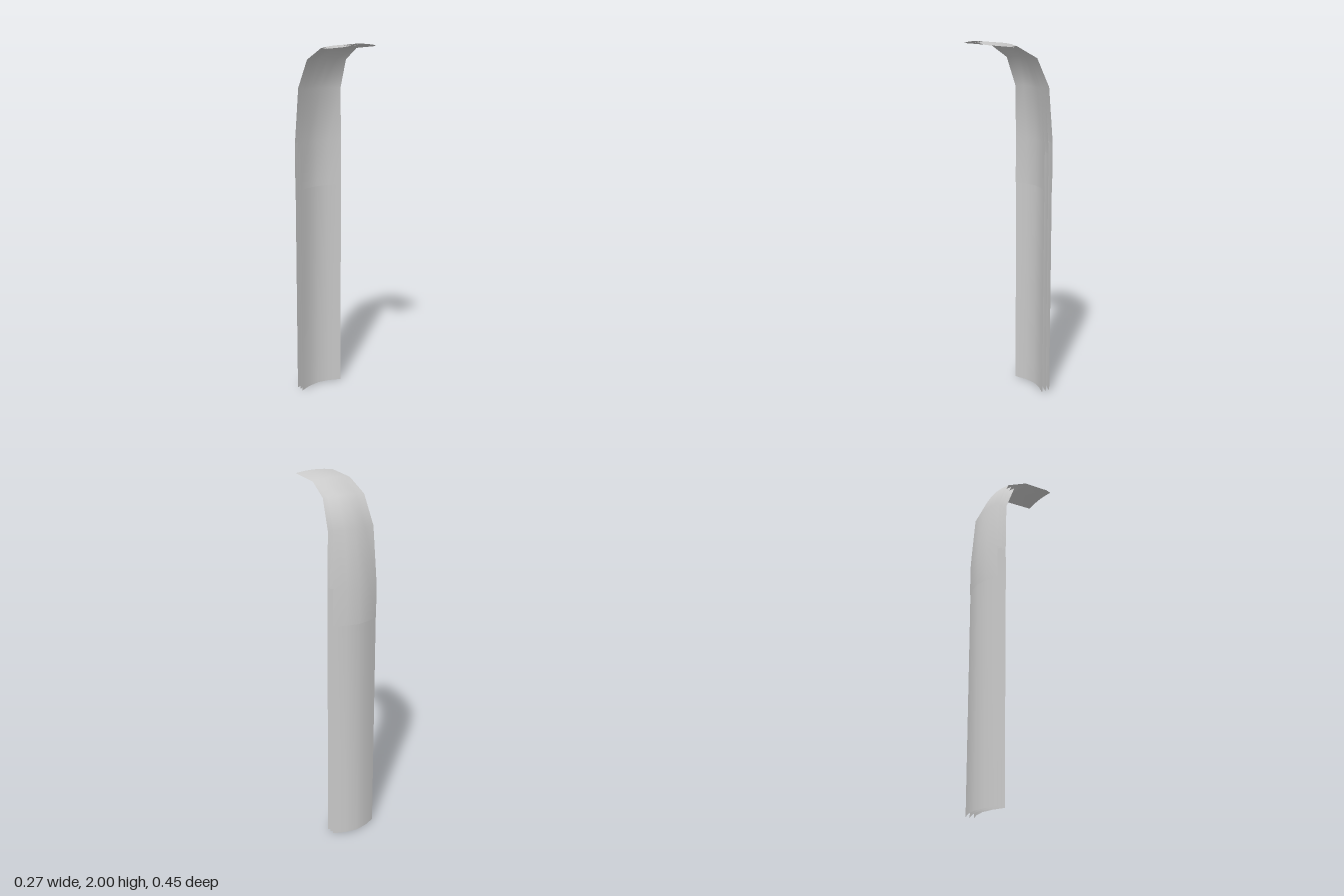
import * as THREE from 'three';

const material = new THREE.MeshStandardMaterial({ color: 0xcccccc, side: THREE.DoubleSide });

// Thin bowed sheet swept through stations listed from the bottom up.
// Station: [z and y of the centre line, half width, bow depth, lean of the bow in radians (0 = forward, PI/2 = down)]
function sheet(name, stations) {
  const rows = stations.length - 1;
  const geometry = new THREE.PlaneGeometry(2, 1, 4, rows);
  const position = geometry.attributes.position;
  for (let i = 0; i < position.count; i++) {
    const [z, y, halfWidth, depth, lean] = stations[rows - Math.floor(i / 5)];
    const across = position.getX(i);
    const drop = depth * Math.abs(across) ** 1.75;
    position.setXYZ(i, across * halfWidth, y - drop * Math.sin(lean), z + drop * Math.cos(lean));
  }
  geometry.computeVertexNormals();
  const mesh = new THREE.Mesh(geometry, material);
  mesh.name = name;
  return mesh;
}

// Centre lines of the bent part, front layer and back layer
const frontLine = [[-0.168, 1.46], [-0.135, 1.752], [-0.062, 1.914], [0.045, 1.979], [0.222, 1.995]];
const backLine = [[-0.217, 1.46], [-0.184, 1.76], [-0.104, 1.919], [0.03, 1.985], [0.197, 2.0]];
const halfWidths = [0.135, 0.123, 0.112, 0.108, 0.107];
const depths = [0.04, 0.02, 0.015, 0.011, 0.009];
const leans = [0, 0.25, 0.8, 1.25, 1.5];

export function createModel() {
  const group = new THREE.Group();
  group.name = 'curvedLayeredPanel';

  const layers = [
    { label: 'front', mix: 0, postZ: -0.17, lapZ: -0.168, lapY: 1.2 },
    { label: 'middle', mix: 0.5, postZ: -0.195, lapZ: -0.194, lapY: 1.4 },
    { label: 'back', mix: 1, postZ: -0.22, lapZ: -0.2235, lapY: 1.26 },
  ];

  for (const { label, mix, postZ, lapZ, lapY } of layers) {
    // Straight lower sheet
    group.add(sheet(label + 'PostSheet', [
      [postZ, 0, 0.137, 0.04, 0],
      [postZ, 1.455, 0.137, 0.04, 0],
    ]));

    // Upper sheet: laps over the post, then bends forward and narrows
    const bend = frontLine.map(([z, y], i) => [
      THREE.MathUtils.lerp(z, backLine[i][0], mix),
      THREE.MathUtils.lerp(y, backLine[i][1], mix),
      halfWidths[i], depths[i], leans[i],
    ]);
    bend[0][0] = lapZ;
    group.add(sheet(label + 'BentSheet', [[lapZ, lapY, 0.137, 0.04, 0], ...bend]));
  }
  return group;
}
